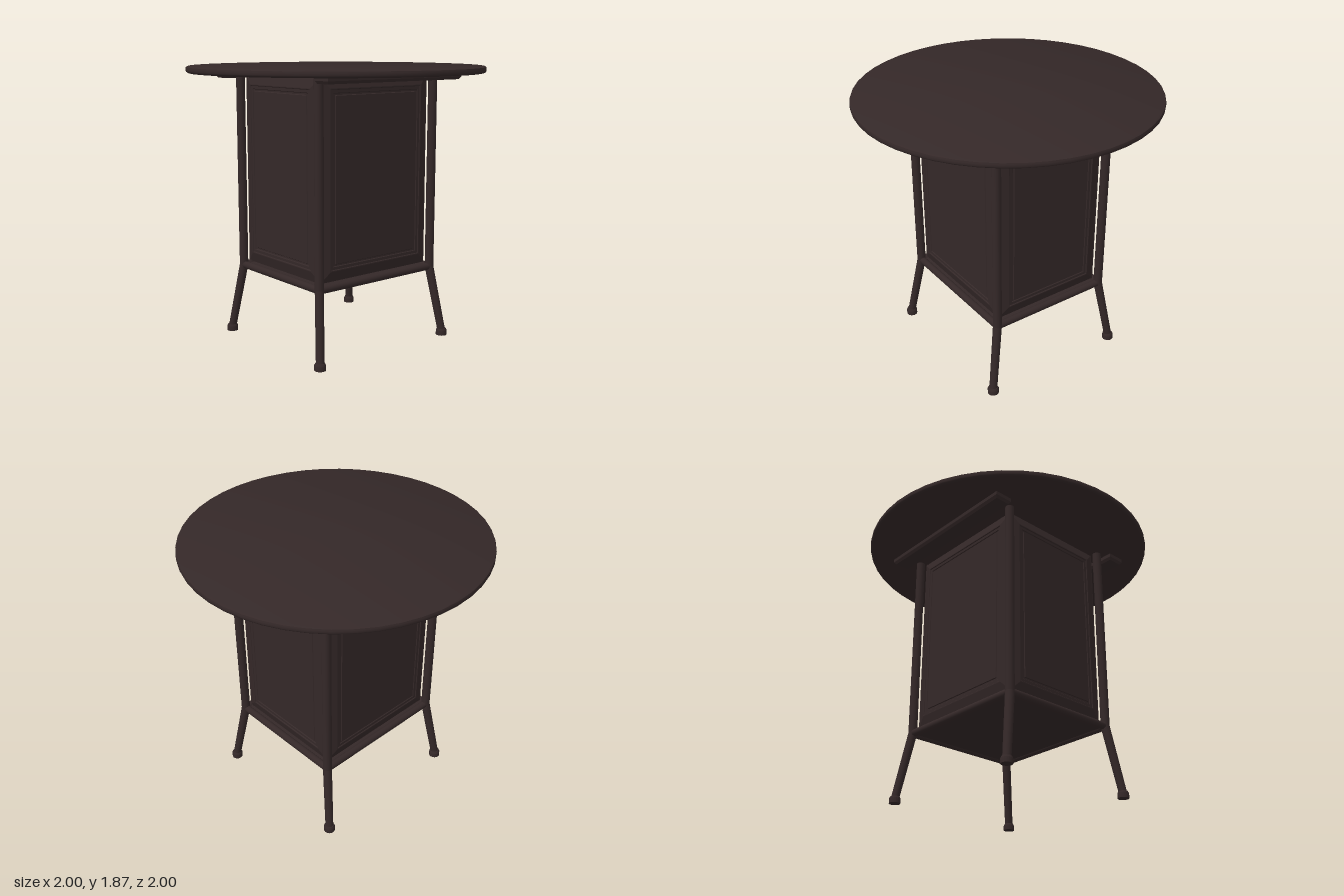
import * as THREE from 'three';
import { toCreasedNormals } from 'three/addons/utils/BufferGeometryUtils.js';

const darkWood = new THREE.MeshStandardMaterial({ color: 0x342828 });
darkWood.name = 'darkWood';

function add(parent, name, geometry) {
  const mesh = new THREE.Mesh(geometry, darkWood);
  mesh.name = name;
  parent.add(mesh);
  return mesh;
}

// Round bar between two points
function bar(parent, name, a, b, r0, r1 = r0) {
  const dir = b.clone().sub(a);
  const mesh = add(parent, name, new THREE.CylinderGeometry(r1, r0, dir.length(), 16));
  mesh.position.copy(a).add(b).multiplyScalar(0.5);
  mesh.quaternion.setFromUnitVectors(new THREE.Vector3(0, 1, 0), dir.normalize());
  return mesh;
}

// Closed solid through rectangular rings [halfWidth, halfHeight, depth], facing +z
function rectLoft(rings) {
  const pos = [];
  const loops = rings.map(([w, h, d]) => [[-w, -h, d], [w, -h, d], [w, h, d], [-w, h, d]]);
  const quad = (a, b, c, d) => pos.push(...a, ...b, ...c, ...a, ...c, ...d);
  for (let i = 0; i < loops.length - 1; i++) {
    for (let k = 0; k < 4; k++) {
      const n = (k + 1) % 4;
      quad(loops[i][k], loops[i][n], loops[i + 1][n], loops[i + 1][k]);
    }
  }
  quad(...loops[0].slice().reverse());
  quad(...loops[loops.length - 1]);
  const g = new THREE.BufferGeometry();
  g.setAttribute('position', new THREE.Float32BufferAttribute(pos, 3));
  g.computeVertexNormals();
  return g;
}

// Raised panel with a bevelled border and a fine groove
function panelGeometry(hw, hh) {
  const steps = [[0, -0.02], [0, 0], [0.07, 0.022], [0.076, 0.022], [0.08, 0.017],
    [0.098, 0.017], [0.102, 0.012], [0.112, 0.012], [0.116, 0.017]];
  return rectLoft(steps.map(([inset, d]) => [hw - inset, hh - inset, d]));
}

export function createModel() {
  const table = new THREE.Group();
  table.name = 'table';
  const X = 0.43, Z = 0.486, KNEE = 0.49, TOP = 1.835;

  // Round top with softened rim
  const profile = [[0, 1.83], [0.985, 1.83], [0.997, 1.837], [1, 1.845], [1, 1.86],
    [0.997, 1.868], [0.985, 1.874], [0, 1.874]].map(([x, y]) => new THREE.Vector2(x, y));
  add(table, 'tableTop', toCreasedNormals(new THREE.LatheGeometry(profile, 48), 0.7));

  // Legs: upright post, knee, splayed lower part and foot
  for (const sx of [-1, 1]) {
    for (const sz of [-1, 1]) {
      const leg = new THREE.Group();
      leg.name = 'leg';
      table.add(leg);
      const knee = new THREE.Vector3(sx * X, KNEE, sz * Z);
      bar(leg, 'post', knee, new THREE.Vector3(sx * X, TOP, sz * Z), 0.03);
      add(leg, 'knee', new THREE.SphereGeometry(0.03, 16, 10)).position.copy(knee);
      bar(leg, 'lowerLeg', new THREE.Vector3(sx * 0.507, 0.03, sz * 0.543), knee, 0.027, 0.03);
      const foot = [[0, 0], [0.038, 0], [0.038, 0.033], [0.031, 0.046], [0, 0.046]]
        .map(([x, y]) => new THREE.Vector2(x, y));
      add(leg, 'foot', toCreasedNormals(new THREE.LatheGeometry(foot, 16), 0.6))
        .position.set(sx * 0.507, 0, sz * 0.543);
    }
  }

  // Lower rails and panels, with a cleat beneath the top on either side
  for (const s of [-1, 1]) {
    bar(table, 'rail', new THREE.Vector3(-X, KNEE, s * Z), new THREE.Vector3(X, KNEE, s * Z), 0.025);
    bar(table, 'rail', new THREE.Vector3(s * X, KNEE, -Z), new THREE.Vector3(s * X, KNEE, Z), 0.025);

    const facePanel = add(table, s > 0 ? 'frontPanel' : 'backPanel', panelGeometry(0.402, 0.65));
    facePanel.position.set(0, 1.17, s * 0.455);
    facePanel.rotation.y = s > 0 ? 0 : Math.PI;

    const sidePanel = add(table, s > 0 ? 'leftPanel' : 'rightPanel', panelGeometry(0.458, 0.65));
    sidePanel.position.set(s * 0.4, 1.17, 0);
    sidePanel.rotation.y = s * Math.PI / 2;

    const cleat = add(table, 'cleat', rectLoft([[0.064, 0.564, 0], [0.064, 0.564, 0.027],
      [0.052, 0.552, 0.045]]));
    cleat.rotation.x = Math.PI / 2;
    cleat.position.set(s * 0.553, 1.832, 0);
  }

  // Floor of the cabinet
  add(table, 'floor', new THREE.BoxGeometry(2 * X, 0.02, 2 * Z)).position.y = KNEE;
  return table;
}
